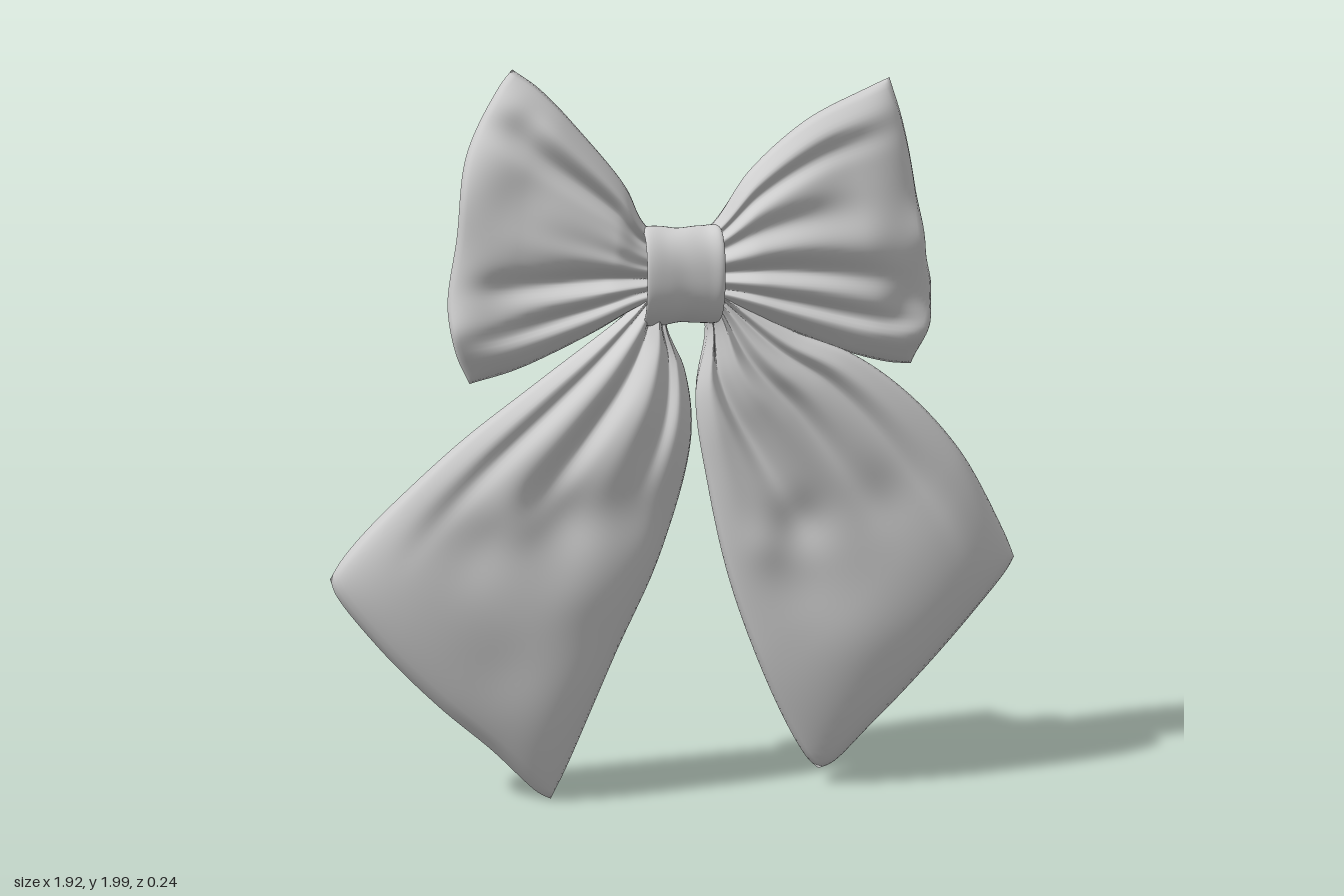
import * as THREE from 'three';
import { mergeVertices } from 'three/addons/utils/BufferGeometryUtils.js';

const BACK = -0.075; // flat back plane
const N = 64;        // grid steps per panel

const smooth = THREE.MathUtils.smoothstep;
const curve = (pts) => new THREE.CatmullRomCurve3(pts.map(([x, y]) => new THREE.Vector3(x, y, 0)));

// Cloth panel fanning out of the knot: u runs outwards, v counter-clockwise from edge a to edge b.
// folds: [v at knot, v at outer end, width, height, length along u]; dents: [x, y, radius, height]
// lifts: [v, width, height] raise the outer hem where folds run out to it
function clothPanel({ a, b, end, folds, dents, lifts, height, rim, sideRim, endFall }) {
  const A = curve(a), B = curve(b), D = curve(end);
  const a1 = A.getPoint(1), b1 = B.getPoint(1);
  const rowsA = A.getSpacedPoints(200), rowsB = B.getSpacedPoints(200), rowsD = D.getSpacedPoints(200);
  const at = (rows, t) => {
    const i = Math.min(199, Math.floor(t * 200));
    return rows[i].clone().lerp(rows[i + 1], t * 200 - i);
  };
  const plan = (u, v) => {
    const bulge = at(rowsD, v).sub(a1.clone().lerp(b1, v)).multiplyScalar(u);
    return at(rowsA, u).lerp(at(rowsB, u), v).add(bulge);
  };
  const gather = (u) => 1 - smooth(u, 0.1, 0.45);
  const pleat = (v) => Math.cos(v * Math.PI * 10);
  const arch = (t) => Math.sqrt(Math.max(0, Math.sin(Math.PI * t)));

  const frontPoint = (u, v) => {
    const p = plan(u, v);
    const side = Math.pow(Math.max(0, 1 - Math.pow(Math.abs(2 * v - 1), 3)), 0.55);
    const t = Math.min(1, (1 - u) / endFall);
    const dome = side * Math.sqrt(1 - (1 - t) * (1 - t));
    const top = THREE.MathUtils.lerp(0.03, height, smooth(u, 0, 0.3));
    let f = 0.003 * gather(u) * pleat(v);
    for (const [v0, v1, w, h, len] of folds) {
      const d = (v - v0 - (v1 - v0) * u) / w;
      f += h * Math.exp(-d * d) * (1 - smooth(u, len * 0.35, len)) * smooth(u, -0.05, 0.12);
    }
    for (const [x, y, r, h] of dents) f += h * Math.exp(-((p.x - x) ** 2 + (p.y - y) ** 2) / (r * r));
    let edge = BACK + rim + sideRim * arch(u) * smooth(1 - u, 0, 0.3);
    for (const [c, w, h] of lifts) edge += h * Math.exp(-(((v - c) / w) ** 2)) * smooth(u, 0.6, 1);
    p.z = edge + (top - edge + f) * dome;
    return p;
  };
  // the back is drawn in from the long edges
  const backPoint = (u, v) => {
    const inset = 0.012 + 0.042 * arch(u);
    const p = plan(u * 0.99, inset + (1 - 2 * inset) * v);
    p.z = BACK + gather(u) * (0.022 + 0.012 * pleat(v)) * (0.4 + 0.6 * Math.sin(Math.PI * v));
    return p;
  };

  const pos = [], idx = [];
  const add = (p) => pos.push(p.x, p.y, p.z) / 3 - 1;
  const grid = (fn, flip) => {
    const g = [];
    for (let i = 0; i <= N; i++) {
      g.push([]);
      for (let j = 0; j <= N; j++) g[i].push(add(fn(i / N, j / N)));
    }
    for (let i = 0; i < N; i++) for (let j = 0; j < N; j++) {
      const p = g[i][j], q = g[i + 1][j], r = g[i + 1][j + 1], s = g[i][j + 1];
      if (flip) idx.push(p, r, q, p, s, r);
      else idx.push(p, q, r, p, r, s);
    }
    return g;
  };
  const front = grid(frontPoint, false);
  grid(backPoint, true);

  // side wall around the outline, sharp against the back
  const loop = [];
  for (let i = 0; i < N; i++) loop.push([i, 0]);
  for (let j = 0; j < N; j++) loop.push([N, j]);
  for (let i = N; i > 0; i--) loop.push([i, N]);
  for (let j = N; j > 0; j--) loop.push([0, j]);
  const low = loop.map(([i, j]) => add(backPoint(i / N, j / N)));
  loop.forEach(([i, j], k) => {
    const n = (k + 1) % loop.length;
    const f0 = front[i][j], f1 = front[loop[n][0]][loop[n][1]];
    idx.push(low[k], low[n], f1, low[k], f1, f0);
  });

  const geo = new THREE.BufferGeometry();
  geo.setAttribute('position', new THREE.Float32BufferAttribute(pos, 3));
  geo.setIndex(idx);
  geo.computeVertexNormals();
  return geo;
}

// Band wrapped around the middle, turned about the x axis
function knotBand() {
  const profile = new THREE.SplineCurve([
    [0.6, -0.095], [0.88, -0.116], [1, -0.112], [0.99, -0.06], [0.965, -0.01],
    [0.98, 0.045], [1.01, 0.08], [0.9, 0.09], [0.6, 0.07],
  ].map(([r, x]) => new THREE.Vector2(r, x)));
  let geo = new THREE.LatheGeometry(profile.getPoints(48), 72);
  geo.rotateZ(-Math.PI / 2);
  const p = geo.attributes.position;
  for (let i = 0; i < p.count; i++) {
    const x = p.getX(i), ang = Math.atan2(p.getY(i), p.getZ(i));
    const r = Math.hypot(p.getY(i), p.getZ(i));
    // squared-off oval with shallow creases running around it
    const box = Math.pow(Math.abs(Math.cos(ang)) ** 2.3 + Math.abs(Math.sin(ang)) ** 2.3, -1 / 2.3);
    const crease = 1 + 0.012 * Math.sin(x * 60 + 2 * Math.sin(ang * 2));
    p.setXYZ(i, x, 1.457 + 0.03 * x + Math.sin(ang) * r * box * crease * 0.132,
      -0.003 + Math.cos(ang) * r * box * crease * 0.117);
  }
  geo.deleteAttribute('uv');
  geo.deleteAttribute('normal');
  geo = mergeVertices(geo, 1e-5);
  geo.computeVertexNormals();
  return geo;
}

export function createModel() {
  const group = new THREE.Group();
  const cloth = new THREE.MeshStandardMaterial({ color: 0xd0d0d0 });
  cloth.name = 'light grey cloth';
  const add = (name, geo) => {
    const mesh = new THREE.Mesh(geo, cloth);
    mesh.name = name;
    group.add(mesh);
  };

  add('knot', knotBand());

  add('rightLoop', clothPanel({
    a: [[-0.04, 1.53], [-0.115, 1.6], [-0.16, 1.69], [-0.28, 1.835], [-0.39, 1.95], [-0.455, 1.995]],
    b: [[-0.04, 1.4], [-0.12, 1.375], [-0.26, 1.3], [-0.465, 1.205], [-0.58, 1.17]],
    end: [[-0.455, 1.995], [-0.49, 1.95], [-0.58, 1.77], [-0.61, 1.55], [-0.635, 1.37], [-0.615, 1.25], [-0.58, 1.17]],
    folds: [[0.1, 0.09, 0.05, 0.025, 1.4], [0.21, 0.18, 0.05, -0.035, 1.4], [0.42, 0.36, 0.13, 0.015, 1.0],
      [0.56, 0.52, 0.06, 0.015, 0.9], [0.65, 0.7, 0.05, -0.04, 1.1], [0.75, 0.79, 0.05, 0.02, 0.9],
      [0.83, 0.87, 0.035, -0.03, 1.2], [0.92, 0.93, 0.04, 0.025, 1.2]],
    dents: [[-0.45, 1.66, 0.09, -0.015], [-0.5, 1.4, 0.08, -0.015], [-0.42, 1.86, 0.06, -0.02]],
    lifts: [[0.45, 0.18, 0.06], [0.84, 0.08, 0.05]],
    height: 0.08, rim: 0.05, sideRim: 0.03, endFall: 0.25,
  }));

  add('leftLoop', clothPanel({
    a: [[0.02, 1.4], [0.095, 1.385], [0.275, 1.31], [0.46, 1.24], [0.58, 1.21], [0.64, 1.206]],
    b: [[0.02, 1.53], [0.09, 1.61], [0.17, 1.73], [0.33, 1.87], [0.5, 1.955], [0.566, 1.985]],
    end: [[0.64, 1.206], [0.665, 1.28], [0.69, 1.42], [0.657, 1.52], [0.635, 1.735], [0.605, 1.87], [0.566, 1.985]],
    folds: [[0.09, 0.08, 0.04, 0.025, 1.3], [0.17, 0.15, 0.035, -0.035, 1.3], [0.27, 0.22, 0.05, 0.015, 0.9],
      [0.38, 0.3, 0.06, -0.035, 1.1], [0.52, 0.42, 0.08, 0.022, 1.1], [0.66, 0.56, 0.07, -0.02, 0.9],
      [0.75, 0.7, 0.1, 0.012, 0.9], [0.83, 0.84, 0.045, -0.03, 1.1], [0.91, 0.91, 0.05, 0.025, 1.3]],
    dents: [[0.42, 1.73, 0.1, -0.012], [0.6, 1.37, 0.06, -0.02], [0.5, 1.56, 0.08, 0.008]],
    lifts: [[0.45, 0.13, 0.075], [0.14, 0.08, 0.06]],
    height: 0.08, rim: 0.05, sideRim: 0.03, endFall: 0.25,
  }));

  add('rightTail', clothPanel({
    a: [[-0.06, 1.44], [-0.14, 1.37], [-0.41, 1.17], [-0.62, 1.01], [-0.835, 0.81], [-0.93, 0.7], [-0.96, 0.65]],
    b: [[-0.02, 1.4], [-0.05, 1.33], [0, 1.2], [0.016, 1.02], [-0.07, 0.7], [-0.2, 0.41], [-0.33, 0.095], [-0.375, 0.005]],
    end: [[-0.96, 0.65], [-0.945, 0.605], [-0.83, 0.45], [-0.68, 0.29], [-0.54, 0.16], [-0.41, 0.025], [-0.375, 0.005]],
    folds: [[0.08, 0.08, 0.04, 0.015, 0.9], [0.16, 0.15, 0.04, -0.03, 0.9], [0.28, 0.24, 0.08, 0.02, 0.9],
      [0.42, 0.36, 0.06, -0.05, 0.65], [0.58, 0.58, 0.1, 0.02, 0.6], [0.76, 0.78, 0.05, -0.035, 0.45],
      [0.87, 0.9, 0.06, 0.015, 0.5]],
    dents: [[-0.6, 0.76, 0.11, -0.02], [-0.33, 0.82, 0.09, -0.025], [-0.15, 0.82, 0.09, -0.012],
      [-0.46, 0.82, 0.07, 0.012], [-0.5, 0.4, 0.12, -0.01], [-0.3, 0.6, 0.1, 0.01]],
    lifts: [[0.55, 0.3, 0.02]],
    height: 0.085, rim: 0.045, sideRim: 0.04, endFall: 0.24,
  }));

  add('leftTail', clothPanel({
    a: [[0.0, 1.4], [0.06, 1.33], [0.028, 1.13], [0.06, 0.89], [0.127, 0.6], [0.25, 0.28], [0.355, 0.085], [0.39, 0.05]],
    b: [[0.04, 1.44], [0.14, 1.385], [0.3, 1.3], [0.46, 1.24], [0.62, 1.13], [0.78, 0.96], [0.93, 0.71], [0.958, 0.645]],
    end: [[0.39, 0.05], [0.43, 0.065], [0.54, 0.175], [0.67, 0.31], [0.83, 0.48], [0.935, 0.605], [0.958, 0.645]],
    folds: [[0.1, 0.1, 0.06, 0.02, 0.5], [0.2, 0.46, 0.055, -0.05, 0.62], [0.4, 0.58, 0.08, 0.025, 0.6],
      [0.56, 0.62, 0.05, -0.03, 0.7], [0.67, 0.7, 0.07, 0.018, 0.8], [0.8, 0.8, 0.04, -0.03, 0.9],
      [0.89, 0.89, 0.04, 0.015, 0.9]],
    dents: [[0.31, 0.78, 0.08, -0.025], [0.2, 0.72, 0.07, 0.01], [0.3, 0.62, 0.1, -0.01],
      [0.55, 0.85, 0.1, -0.012], [0.5, 0.45, 0.13, 0.008]],
    lifts: [[0.45, 0.3, 0.02]],
    height: 0.085, rim: 0.045, sideRim: 0.04, endFall: 0.24,
  }));

  return group;
}
